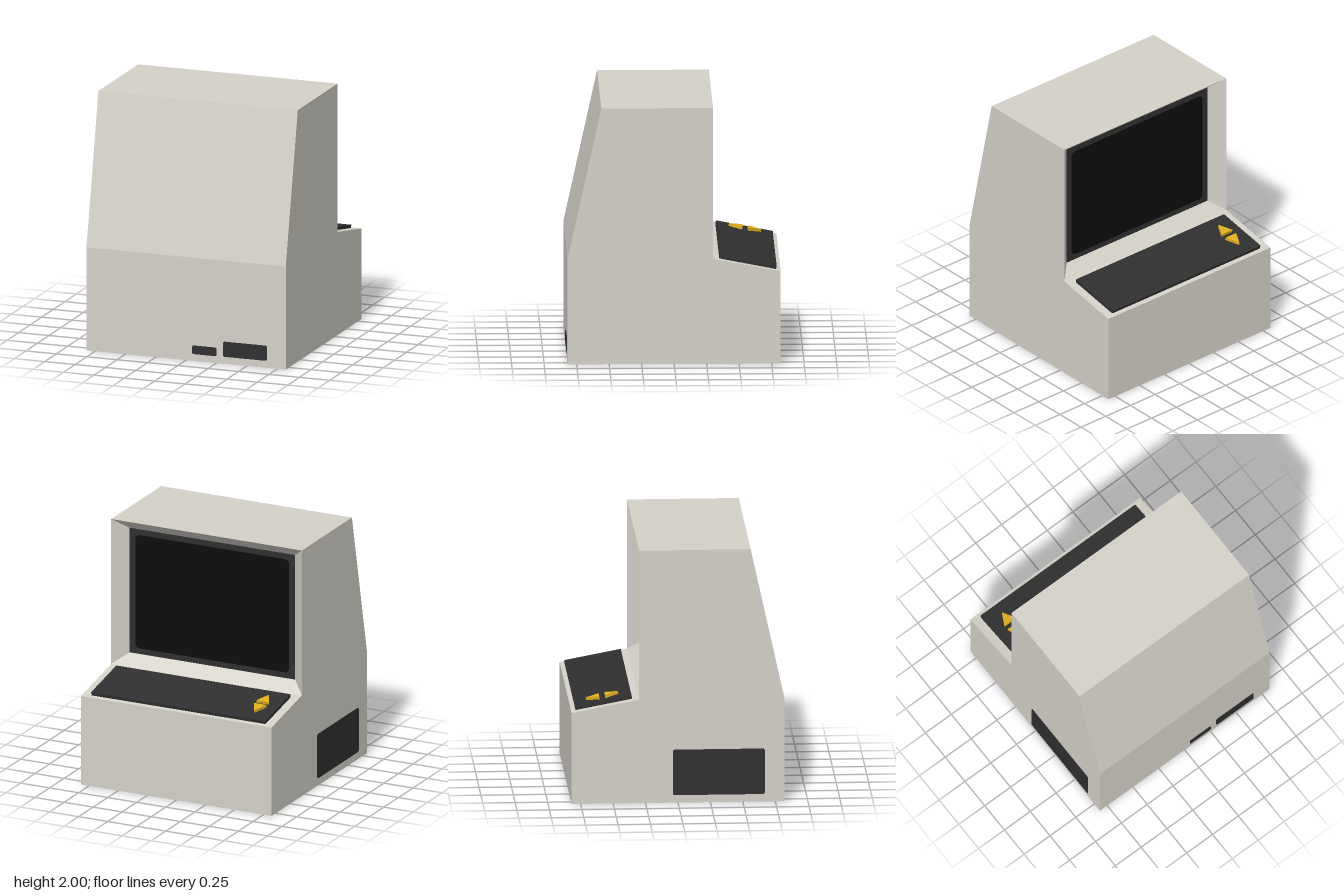
import * as THREE from 'three';

const material = (name, color, side = THREE.FrontSide) => {
  const m = new THREE.MeshStandardMaterial({ color, side });
  m.name = name;
  return m;
};

// Joins convex (or fan-friendly) polygons into one flat-shaded geometry
function facets(polygons) {
  const pos = [];
  for (const p of polygons) {
    for (let i = 1; i < p.length - 1; i++) pos.push(...p[0], ...p[i], ...p[i + 1]);
  }
  const g = new THREE.BufferGeometry();
  g.setAttribute('position', new THREE.Float32BufferAttribute(pos, 3));
  g.computeVertexNormals();
  return g;
}

// Rounded plate centred on the origin, growing from z = 0 towards +z
function plate(w, h, r, depth) {
  const x = w / 2, y = h / 2;
  const s = new THREE.Shape();
  s.moveTo(-x + r, -y);
  s.lineTo(x - r, -y).quadraticCurveTo(x, -y, x, -y + r);
  s.lineTo(x, y - r).quadraticCurveTo(x, y, x - r, y);
  s.lineTo(-x + r, y).quadraticCurveTo(-x, y, -x, y - r);
  s.lineTo(-x, -y + r).quadraticCurveTo(-x, -y, -x + r, -y);
  return new THREE.ExtrudeGeometry(s, { depth, bevelEnabled: false, curveSegments: 5 });
}

export function createModel() {
  const model = new THREE.Group();
  model.name = 'computerTerminal';
  const shellMat = material('shell beige', 0xd4d1c8, THREE.DoubleSide);
  const darkMat = material('charcoal', 0x2f2f2f);
  const glassMat = material('screen black', 0x0c0c0c);
  const amberMat = material('amber', 0xe0b020);

  const add = (name, geometry, mat, parent = model) => {
    const m = new THREE.Mesh(geometry, mat);
    m.name = name;
    parent.add(m);
    return m;
  };

  // Shell: side profile as [z, y], starting at the inner corner below the screen
  const W = 0.82;
  const profile = [[-0.3, 0.82], [-0.82, 0.72], [-0.82, 0], [0.82, 0], [0.82, 0.82], [0.56, 2], [-0.3, 2]];
  const at = (x, [z, y]) => [x, y, z];
  const faces = [
    profile.map((p) => at(-W, p)),
    [profile[0], ...profile.slice(1).reverse()].map((p) => at(W, p)),
  ];
  for (let i = 0; i < profile.length - 1; i++) {
    const a = profile[i], b = profile[i + 1];
    faces.push([at(-W, a), at(W, a), at(W, b), at(-W, b)]);
  }

  // Tapered recess running in from the shell edges to the bezel
  const ring = (x, bottom, top, z) => [[-x, top, z], [x, top, z], [x, bottom, z], [-x, bottom, z]];
  const outer = ring(W, 0.82, 2, -0.3);
  const inner = ring(0.712, 0.9, 1.915, -0.2);
  for (let i = 0; i < 4; i++) {
    const j = (i + 1) % 4;
    faces.push([outer[i], outer[j], inner[j], inner[i]]);
  }
  add('shell', facets(faces), shellMat);

  // Bezel and screen
  add('bezel', facets([inner]), darkMat);
  const screen = add('screen', plate(1.32, 0.92, 0.04, 0.006), glassMat);
  screen.rotation.y = Math.PI;
  screen.position.set(0, 1.408, -0.2);

  // Keyboard panel lying on the sloping deck
  const keyboard = new THREE.Group();
  keyboard.name = 'keyboard';
  keyboard.position.set(0, 0.769, -0.567);
  keyboard.rotation.x = -Math.atan2(0.1, 0.52);
  model.add(keyboard);
  add('keyboardPanel', plate(1.5, 0.445, 0.01, 0.024).rotateX(-Math.PI / 2), darkMat, keyboard);

  // Pair of arrow keys
  for (const [name, dir] of [['upArrowKey', 1], ['downArrowKey', -1]]) {
    const tri = new THREE.Shape([
      new THREE.Vector2(-0.054 * dir, 0.022 * dir),
      new THREE.Vector2(0.054 * dir, 0.022 * dir),
      new THREE.Vector2(0, 0.127 * dir),
    ]);
    const g = new THREE.ExtrudeGeometry(tri, { depth: 0.024, bevelEnabled: false });
    const key = add(name, g.rotateX(-Math.PI / 2), amberMat, keyboard);
    key.position.set(-0.61, 0.023, 0);
  }

  // Connector panels on the front and vent on the side
  for (const [name, x, y, w, h] of [
    ['smallPort', 0.15, 0.088, 0.2, 0.068],
    ['largePort', 0.485, 0.116, 0.36, 0.12],
  ]) {
    add(name, plate(w, h, 0.015, 0.004), darkMat).position.set(x, y, W);
  }
  const vent = add('sideVent', plate(0.71, 0.36, 0.02, 0.004), darkMat);
  vent.rotation.y = -Math.PI / 2;
  vent.position.set(-W, 0.24, 0.315);

  return model;
}
